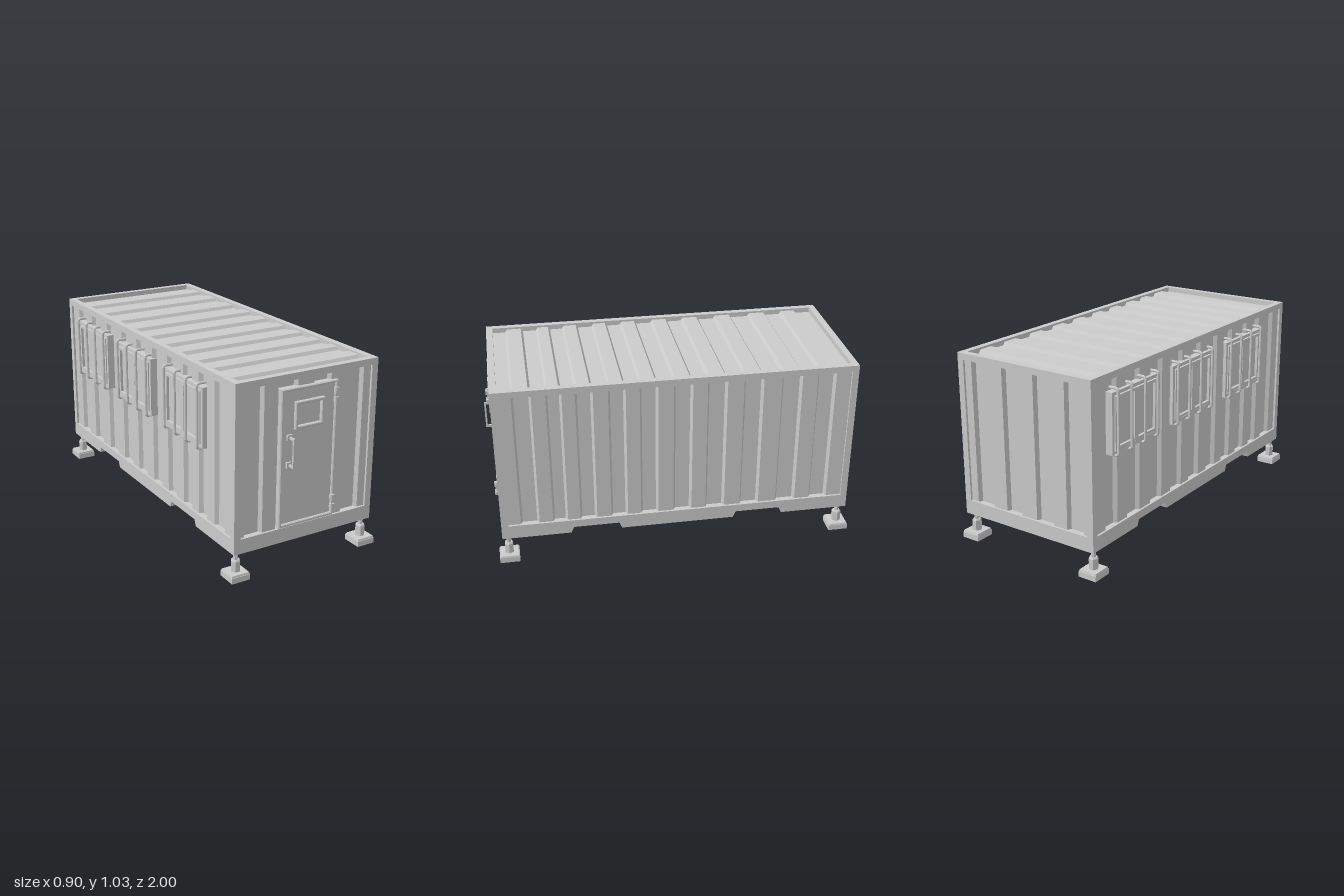
import * as THREE from 'three';

const mat = new THREE.MeshStandardMaterial({ color: 0xcccccc, flatShading: true, side: THREE.DoubleSide });

// Overall body limits
const X0 = -0.418, X1 = 0.427, Y0 = 0.143, Y1 = 1.033, Z0 = -0.985, Z1 = 0.957;
const T = 0.036;                // frame thickness
const SILL = 0.222, HEAD = 0.998; // panel opening heights
const RECESS = 0.012;           // panel setback behind the frame

const LONG_FOLDS = [-0.86, -0.77, -0.675, -0.575, -0.465, -0.37, -0.27, -0.175, -0.085, 0.005,
  0.1, 0.185, 0.27, 0.35, 0.44, 0.52, 0.6, 0.67, 0.755, 0.845];
const SHORT_FOLDS = [-0.346, -0.254, -0.162, -0.06, 0.049, 0.14, 0.243, 0.341];

function add(parent, name, geometry, x = 0, y = 0, z = 0) {
  const mesh = new THREE.Mesh(geometry, mat);
  mesh.name = name;
  mesh.position.set(x, y, z);
  parent.add(mesh);
  return mesh;
}

function box(parent, name, w, h, d, x, y, z) {
  return add(parent, name, new THREE.BoxGeometry(w, h, d), x, y, z);
}

function polygon(points) {
  return new THREE.Shape(points.map(p => new THREE.Vector2(p[0], p[1])));
}

function rect(x0, y0, x1, y1) {
  return polygon([[x0, y0], [x1, y0], [x1, y1], [x0, y1]]);
}

// Outline with a rectangular hole, extruded along z; a bevel chamfers the edges inward
function ring(outline, hole, depth, bevel = 0) {
  outline.holes.push(rect(...hole));
  return new THREE.ExtrudeGeometry(outline, {
    depth, bevelEnabled: bevel > 0, bevelSize: bevel, bevelOffset: -bevel, bevelThickness: bevel, bevelSegments: 1,
  });
}

// Folded sheet: runs along x from a to b, spans y0..y1, folds between z = 0 and z = -depth
function corrugated(a, b, y0, y1, folds, startOut, depth) {
  const pts = [[a, startOut ? 0 : -depth]];
  folds.forEach((f, i) => {
    const out = (i % 2 === 0) === startOut;
    pts.push([f - 0.006, out ? 0 : -depth], [f + 0.006, out ? -depth : 0]);
  });
  pts.push([b, pts[pts.length - 1][1]]);
  const geo = new THREE.PlaneGeometry(1, 1, pts.length - 1, 1);
  const pos = geo.attributes.position;
  for (let i = 0; i < pos.count; i++) {
    const p = pts[i % pts.length];
    pos.setXYZ(i, p[0], i < pts.length ? y1 : y0, p[1]);
  }
  const flat = geo.toNonIndexed();
  flat.computeVertexNormals();
  return flat;
}

const flip = folds => folds.map(f => -f).reverse();

function buildFrame(g) {
  // End frames
  for (const [name, z] of [['frontFrame', Z1 - T], ['backFrame', Z0]]) {
    add(g, name, ring(rect(X0, Y0, X1, Y1), [X0 + T, SILL, X1 - T, HEAD], T), 0, 0, z);
  }
  // Side frames with two fork pockets cut in the bottom rail
  for (const [name, x] of [['rightFrame', X0 + T], ['leftFrame', X1]]) {
    const outline = polygon([[Z0, Y0], [-0.605, Y0], [-0.59, 0.178], [-0.342, 0.178], [-0.327, Y0],
      [0.3, Y0], [0.315, 0.178], [0.565, 0.178], [0.58, Y0], [Z1, Y0], [Z1, Y1], [Z0, Y1]]);
    add(g, name, ring(outline, [Z0 + T, SILL, Z1 - T, HEAD], T), x).rotation.y = -Math.PI / 2;
  }
}

function buildPanels(g) {
  const xa = X0 + 0.02, xb = X1 - 0.02, za = Z0 + 0.02, zb = Z1 - 0.02;
  const ya = SILL - 0.02, yb = HEAD + 0.004, wall = 0.021, deck = 0.017;
  add(g, 'frontPanel', corrugated(xa, xb, ya, yb, SHORT_FOLDS, true, wall), 0, 0, Z1 - RECESS);
  add(g, 'backPanel', corrugated(-xb, -xa, ya, yb, flip(SHORT_FOLDS), true, wall), 0, 0, Z0 + RECESS)
    .rotation.y = Math.PI;
  add(g, 'leftPanel', corrugated(-zb, -za, ya, yb, flip(LONG_FOLDS), true, wall), X1 - RECESS)
    .rotation.y = Math.PI / 2;
  add(g, 'rightPanel', corrugated(za, zb, ya, yb, LONG_FOLDS, true, wall), X0 + RECESS)
    .rotation.y = -Math.PI / 2;
  add(g, 'roof', corrugated(-zb, -za, -xb, -xa, flip(LONG_FOLDS), false, deck), 0, 1.022, 0)
    .rotation.set(-Math.PI / 2, 0, Math.PI / 2);
  add(g, 'floor', corrugated(za, zb, -xb, -xa, LONG_FOLDS, false, deck), 0, 0.181, 0)
    .rotation.set(Math.PI / 2, 0, Math.PI / 2);
}

function buildDoor(g) {
  const door = new THREE.Group();
  door.name = 'door';
  door.position.x = 0.003;
  g.add(door);
  add(door, 'doorFrame', ring(rect(-0.163, 0.225, 0.175, 0.96), [-0.144, 0.243, 0.16, 0.945], 0.04, 0.005), 0, 0, 0.918);
  add(door, 'doorLeaf', ring(rect(-0.145, 0.242, 0.161, 0.946), [-0.067, 0.756, 0.078, 0.872], 0.03), 0, 0, 0.921);
  add(door, 'doorWindowFrame', ring(rect(-0.08, 0.743, 0.092, 0.886), [-0.064, 0.759, 0.075, 0.869], 0.015, 0.004), 0, 0, 0.949);
  box(door, 'doorWindow', 0.15, 0.12, 0.004, 0.005, 0.814, 0.948);
  // Pull handle on two square mounts
  for (const y of [0.56, 0.705]) {
    box(door, 'handleMount', 0.03, 0.03, 0.012, -0.107, y, 0.956);
    box(door, 'handleArm', 0.01, 0.012, 0.045, -0.107, y, 0.972);
  }
  box(door, 'handleGrip', 0.01, 0.157, 0.01, -0.107, 0.6325, 0.995);
  // Paired hinge knuckles
  for (const y of [0.305, 0.885]) {
    box(door, 'hingePin', 0.008, 0.085, 0.008, 0.156, y, 0.968);
    for (const s of [-1, 1]) {
      add(door, 'hingeKnuckle', new THREE.CylinderGeometry(0.01, 0.01, 0.032, 10), 0.156, y + s * 0.025, 0.969);
      box(door, 'hingePlate', 0.022, 0.022, 0.02, 0.163, y + s * 0.025, 0.966);
    }
  }
}

// Guard bar: rounded loop standing off the side wall
function guardBar() {
  const pts = [[-0.39, 0.604], [-0.43, 0.604], [-0.438, 0.607], [-0.442, 0.616],
    [-0.442, 0.938], [-0.438, 0.945], [-0.43, 0.948], [-0.39, 0.948]];
  const path = new THREE.CurvePath();
  for (let i = 1; i < pts.length; i++) {
    path.add(new THREE.LineCurve3(new THREE.Vector3(...pts[i - 1], 0), new THREE.Vector3(...pts[i], 0)));
  }
  return new THREE.TubeGeometry(path, 60, 0.008, 8);
}

function buildWindows(g) {
  const bar = guardBar();
  for (const z of [-0.628, -0.09, 0.464]) {
    const win = new THREE.Group();
    win.name = 'sideWindow';
    win.position.z = z;
    g.add(win);
    const frame = ring(rect(-0.2, 0.608, 0.2, 0.93), [-0.182, 0.626, 0.182, 0.912], 0.04);
    add(win, 'windowFrame', frame, -0.385).rotation.y = -Math.PI / 2;
    // Two sliding sashes
    for (const s of [-0.09, 0.09]) {
      const sash = ring(rect(s - 0.09, 0.63, s + 0.09, 0.908), [s - 0.075, 0.645, s + 0.075, 0.893], 0.02);
      add(win, 'windowSash', sash, -0.41).rotation.y = -Math.PI / 2;
    }
    box(win, 'windowGlass', 0.004, 0.29, 0.37, -0.413, 0.769, 0);
    for (const dz of [-0.173, -0.058, 0.058, 0.173]) add(win, 'guardBar', bar, 0, 0, dz);
  }
}

function buildFeet(g) {
  for (const x of [-0.388, 0.396]) {
    for (const z of [-0.945, 0.924]) {
      const foot = new THREE.Group();
      foot.name = 'foot';
      foot.position.set(x, 0, z);
      g.add(foot);
      box(foot, 'footPad', 0.105, 0.03, 0.11, 0, 0.015, 0);
      const top = new THREE.CylinderGeometry(0.07, 0.074, 0.01, 4);
      top.rotateY(Math.PI / 4);
      add(foot, 'footPadTop', top, 0, 0.035, 0);
      add(foot, 'footSleeve', new THREE.CylinderGeometry(0.026, 0.026, 0.056, 6).rotateY(Math.PI / 6), 0, 0.068, 0);
      add(foot, 'footSleeveCap', new THREE.CylinderGeometry(0.021, 0.026, 0.008, 6).rotateY(Math.PI / 6), 0, 0.1, 0);
      add(foot, 'footScrew', new THREE.CylinderGeometry(0.013, 0.013, 0.08, 8), 0, 0.14, 0);
    }
  }
}

export function createModel() {
  const model = new THREE.Group();
  model.name = 'containerCabin';
  [buildFrame, buildPanels, buildDoor, buildWindows, buildFeet].forEach(build => build(model));
  return model;
}
